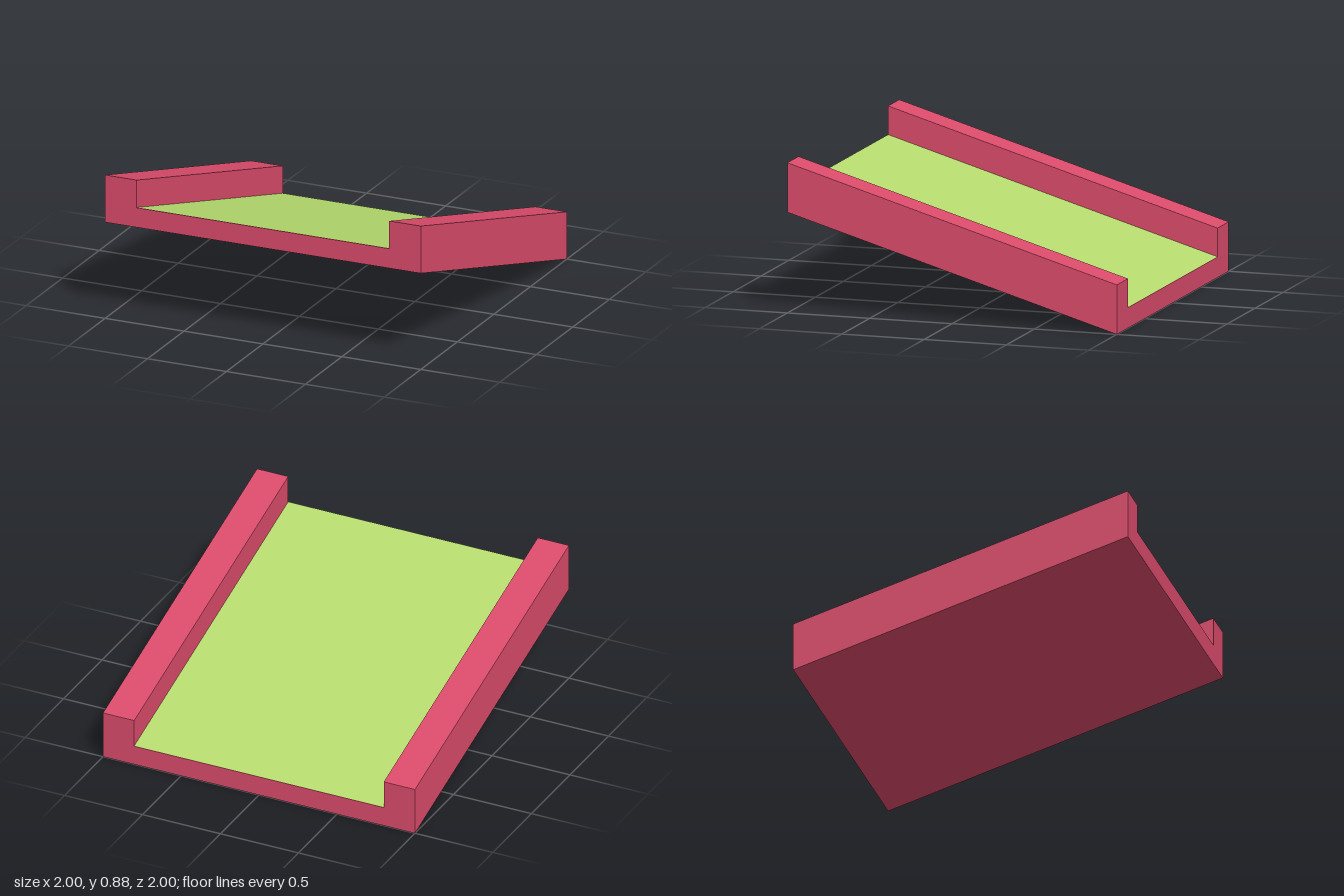
import * as THREE from 'three';

const red = new THREE.MeshStandardMaterial({ color: 0xdb4b6b });
red.name = 'raspberry red';
const green = new THREE.MeshStandardMaterial({ color: 0xb7dc6e });
green.name = 'lime green';

const RISE = 0.59, WALL = 0.29, FLOOR = 0.12, INNER = 0.8;

// Shear a level piece so it climbs from the back (z = -1) to the front (z = 1).
function slope(geometry) {
  const p = geometry.attributes.position;
  for (let i = 0; i < p.count; i++) {
    p.setY(i, p.getY(i) + RISE * (p.getZ(i) + 1) / 2);
  }
  geometry.computeVertexNormals();
  return geometry;
}

export function createModel() {
  const group = new THREE.Group();
  group.name = 'slopedTrack';

  // U-shaped body: base with a raised rail on each side
  const profile = new THREE.Shape([
    [-1, 0], [1, 0], [1, WALL], [INNER, WALL],
    [INNER, FLOOR], [-INNER, FLOOR], [-INNER, WALL], [-1, WALL],
  ].map(([x, y]) => new THREE.Vector2(x, y)));
  const bodyGeometry = new THREE.ExtrudeGeometry(profile, { depth: 2, bevelEnabled: false });
  bodyGeometry.translate(0, 0, -1);
  const body = new THREE.Mesh(slope(bodyGeometry), red);
  body.name = 'trackBody';

  // Green running surface between the rails
  const floorGeometry = new THREE.PlaneGeometry(2 * INNER, 2);
  floorGeometry.rotateX(-Math.PI / 2).translate(0, FLOOR + 0.002, 0);
  const floor = new THREE.Mesh(slope(floorGeometry), green);
  floor.name = 'trackSurface';

  group.add(body, floor);
  return group;
}
